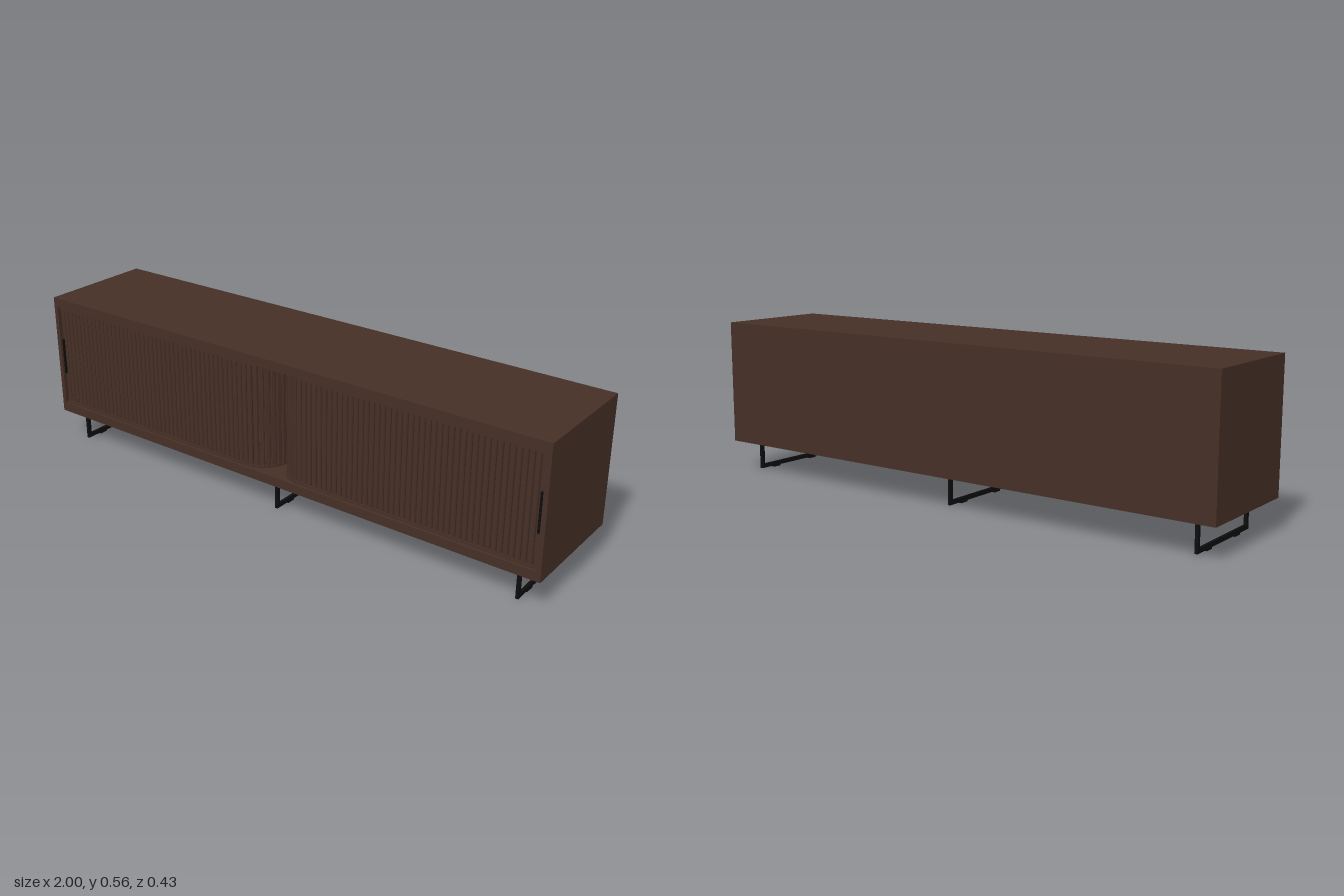
import * as THREE from 'three';
import { mergeGeometries } from 'three/addons/utils/BufferGeometryUtils.js';

const wood = new THREE.MeshStandardMaterial({ color: 0x452f25 });
wood.name = 'dark walnut';
const metal = new THREE.MeshStandardMaterial({ color: 0x0d0d0f });
metal.name = 'black metal';

function box(parent, name, material, x0, x1, y0, y1, z0, z1) {
  const mesh = new THREE.Mesh(new THREE.BoxGeometry(x1 - x0, y1 - y0, z1 - z0), material);
  mesh.position.set((x0 + x1) / 2, (y0 + y1) / 2, (z0 + z1) / 2);
  mesh.name = name;
  parent.add(mesh);
}

// Upright slat with chamfered front edges; its front faces +z
function slatGeometry(width, y0, y1) {
  const w = width / 2, c = 0.003, d = 0.005;
  const shape = new THREE.Shape([
    [-w, d], [-w, -d + c], [-w + c, -d], [w - c, -d], [w, -d + c], [w, d],
  ].map(([x, y]) => new THREE.Vector2(x, y)));
  return new THREE.ExtrudeGeometry(shape, { depth: y1 - y0, bevelEnabled: false })
    .rotateX(-Math.PI / 2).translate(0, y0, 0);
}

// Sliding-door track: along the front, round a quarter circle, then to the back
const FRONT = 0.197, RADIUS = 0.1, OUTER = 0.984, INNER = 0.016;
function trackPoint(s) {
  const straight = OUTER - INNER - RADIUS, arc = RADIUS * Math.PI / 2;
  const cx = INNER + RADIUS, cz = FRONT - RADIUS;
  if (s < straight) return { x: OUTER - s, z: FRONT, angle: 0 };
  if (s < straight + arc) {
    const a = (s - straight) / RADIUS;
    return { x: cx - RADIUS * Math.sin(a), z: cz + RADIUS * Math.cos(a), angle: -a };
  }
  return { x: INNER, z: cz - (s - straight - arc), angle: -Math.PI / 2 };
}

function tambourDoor(side, name) {
  const door = new THREE.Group();
  door.name = name;
  const pitch = 0.02, slats = [], rails = [];
  const length = OUTER - INNER - RADIUS + RADIUS * Math.PI / 2 + 0.28;
  for (let s = pitch / 2; s < length; s += pitch) {
    const p = trackPoint(s);
    const place = (g) => g.rotateY(side * p.angle).translate(side * p.x, 0, p.z);
    slats.push(place(slatGeometry(0.0175, 0.152, 0.517)));
    for (const [y0, y1] of [[0.143, 0.152], [0.517, 0.527]]) {
      const g = new THREE.BoxGeometry(pitch, y1 - y0, 0.014);
      rails.push(place(g.translate(0, (y0 + y1) / 2, 0)));
    }
  }
  const slatMesh = new THREE.Mesh(mergeGeometries(slats), wood);
  slatMesh.name = 'doorSlats';
  const railMesh = new THREE.Mesh(mergeGeometries(rails), wood);
  railMesh.name = 'doorRails';
  door.add(slatMesh, railMesh);
  const hx = side * 0.977;
  box(door, 'doorHandle', metal, hx - 0.003, hx + 0.003, 0.265, 0.4, 0.2, 0.209);
  return door;
}

// Rectangular sled leg with mounting plate and two glides
function sledLeg(x) {
  const leg = new THREE.Group();
  leg.name = 'sledLeg';
  const w = 0.005, z0 = -0.162, z1 = 0.18, t = 0.0145;
  box(leg, 'legTopBar', metal, x - w, x + w, 0.091, 0.106, z0, z1);
  box(leg, 'legBottomBar', metal, x - w, x + w, 0.005, 0.02, z0, z1);
  box(leg, 'legFrontPost', metal, x - w, x + w, 0.02, 0.091, z1 - t, z1);
  box(leg, 'legBackPost', metal, x - w, x + w, 0.02, 0.091, z0, z0 + t);
  box(leg, 'mountingPlate', metal, x - w, x + w, 0.106, 0.11, -0.102, 0.12);
  box(leg, 'frontGlide', metal, x - w, x + w, 0, 0.005, 0.087, 0.12);
  box(leg, 'backGlide', metal, x - w, x + w, 0, 0.005, -0.102, -0.069);
  return leg;
}

export function createModel() {
  const model = new THREE.Group();
  model.name = 'sideboard';

  // Cabinet shell
  box(model, 'topPanel', wood, -1, 1, 0.527, 0.56, -0.213, 0.213);
  box(model, 'bottomPanel', wood, -1, 1, 0.11, 0.143, -0.213, 0.213);
  box(model, 'rightSide', wood, -1, -0.984, 0.143, 0.527, -0.213, 0.213);
  box(model, 'leftSide', wood, 0.984, 1, 0.143, 0.527, -0.213, 0.213);
  box(model, 'backPanel', wood, -0.984, 0.984, 0.143, 0.527, -0.213, -0.198);

  // Inner shelf, just visible between the slats
  box(model, 'innerShelf', wood, 0.13, 0.984, 0.32, 0.333, -0.198, 0.16);

  model.add(tambourDoor(1, 'leftDoor'), tambourDoor(-1, 'rightDoor'));
  for (const x of [-0.915, 0, 0.915]) model.add(sledLeg(x));
  return model;
}
